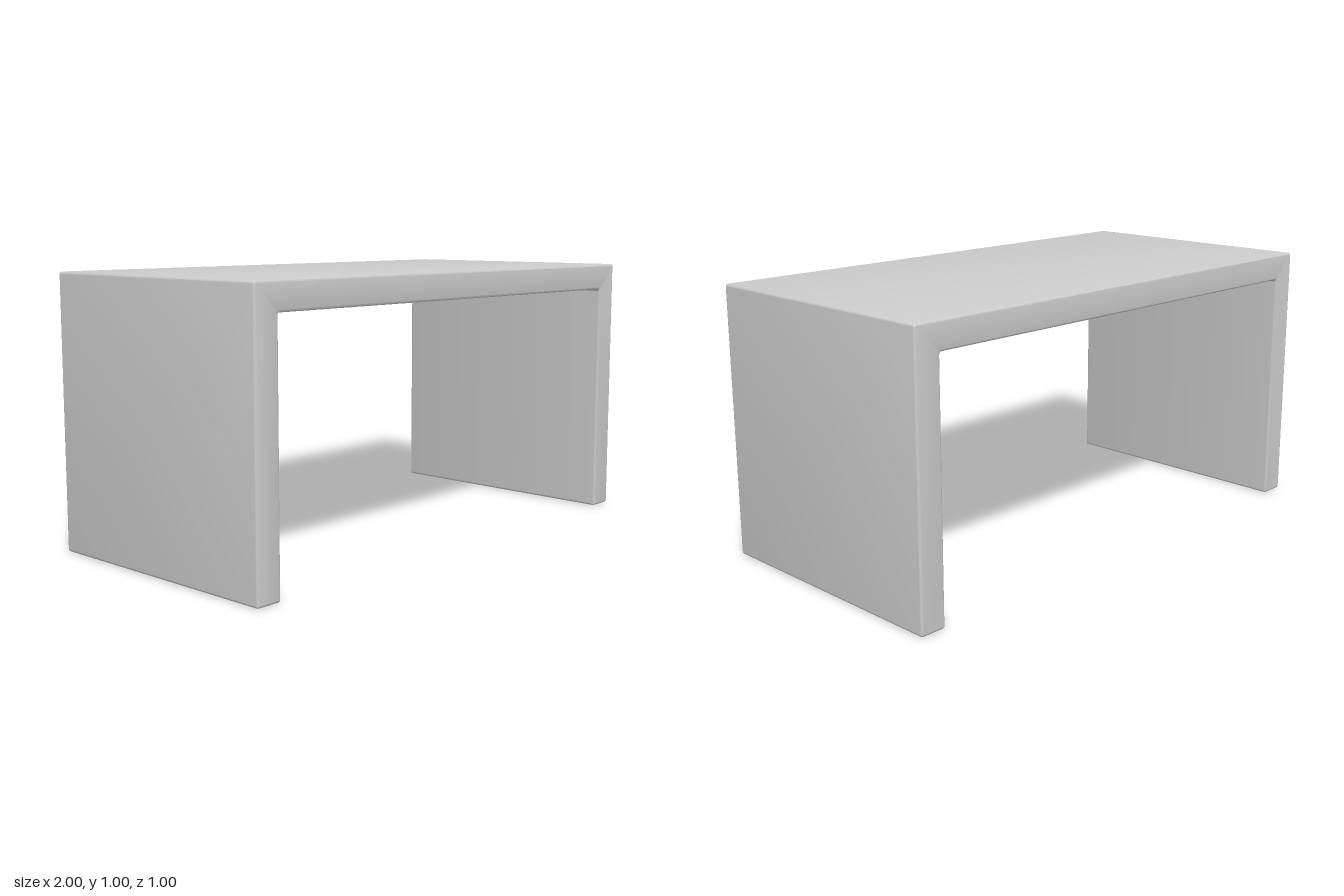
import * as THREE from 'three';
import { toCreasedNormals } from 'three/addons/utils/BufferGeometryUtils.js';

// Closed outline with every corner eased by radius r
function roundedOutline(points, r) {
  const shape = new THREE.Shape();
  const corners = points.map(([x, y]) => new THREE.Vector2(x, y));
  const toward = (a, b) => a.clone().add(b.clone().sub(a).setLength(r));
  corners.forEach((corner, i) => {
    const start = toward(corner, corners.at(i - 1));
    const end = toward(corner, corners[(i + 1) % corners.length]);
    if (i === 0) shape.moveTo(start.x, start.y);
    else shape.lineTo(start.x, start.y);
    shape.quadraticCurveTo(corner.x, corner.y, end.x, end.y);
  });
  shape.closePath();
  return shape;
}

export function createModel() {
  const group = new THREE.Group();
  group.name = 'table';

  const halfWidth = 1, height = 1, depth = 1, thickness = 0.1;
  const inner = halfWidth - thickness;
  const bevel = 0.008;

  // Waterfall table: top and two side panels in one continuous slab
  const outline = roundedOutline([
    [-halfWidth, 0], [-inner, 0], [-inner, height - thickness], [inner, height - thickness],
    [inner, 0], [halfWidth, 0], [halfWidth, height], [-halfWidth, height],
  ], 0.01);

  const geometry = new THREE.ExtrudeGeometry(outline, {
    depth: depth - 2 * bevel,
    curveSegments: 4,
    bevelThickness: bevel,
    bevelSize: bevel,
    bevelOffset: -bevel,
    bevelSegments: 3,
  });
  geometry.translate(0, 0, bevel - depth / 2);

  const slab = new THREE.Mesh(
    toCreasedNormals(geometry, 0.65),
    new THREE.MeshStandardMaterial({ color: 0xcccccc }),
  );
  slab.name = 'topAndSidePanels';
  group.add(slab);
  return group;
}
